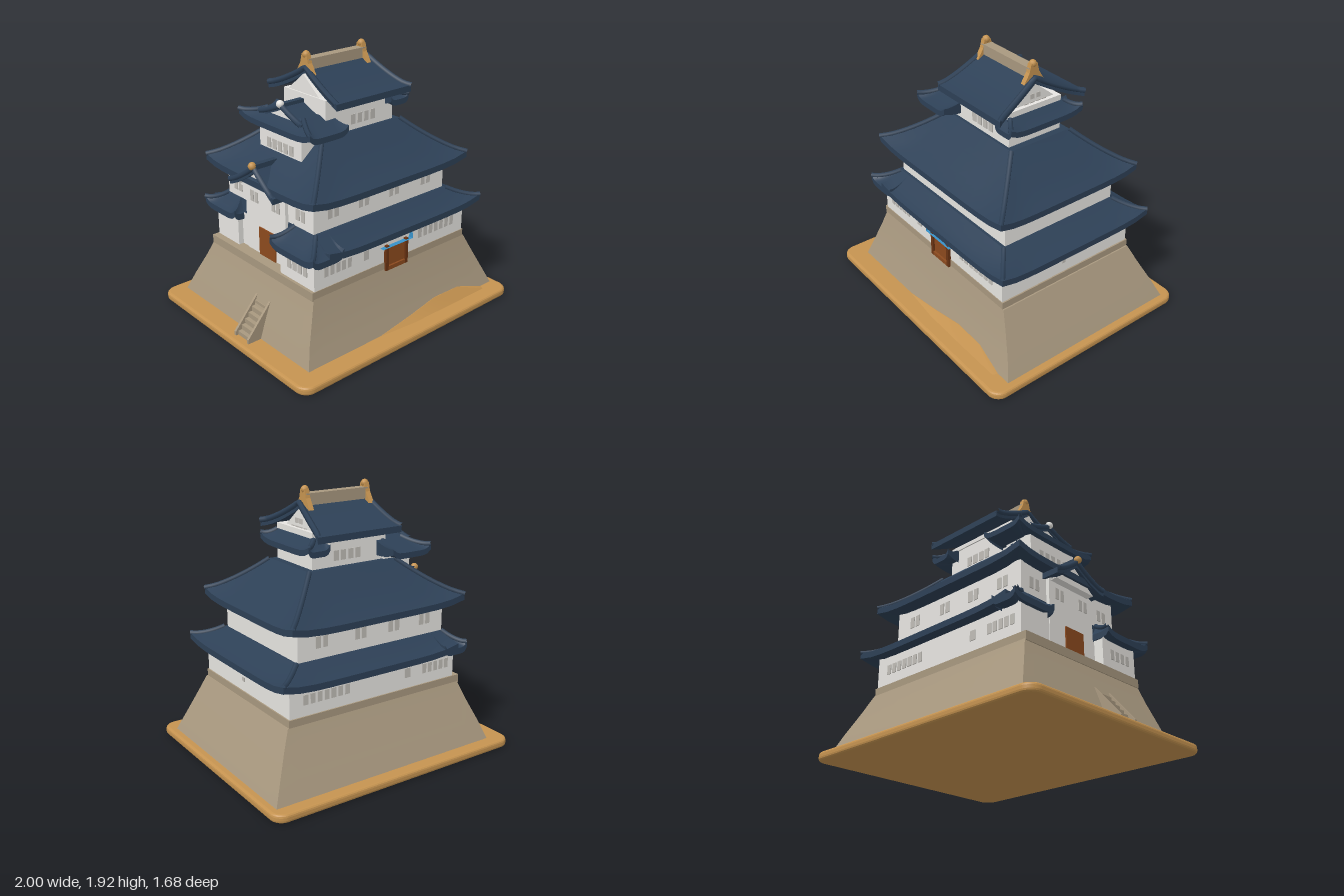
import * as THREE from 'three';
import { toCreasedNormals } from 'three/addons/utils/BufferGeometryUtils.js';

const mat = (name, color) => Object.assign(new THREE.MeshStandardMaterial({ color }), { name });

export function createModel() {
  const M = {
    sand: mat('sand gold', 0xc59350), stone: mat('stone', 0xa8987f), white: mat('plaster white', 0xe9e7e3),
    navy: mat('roof navy', 0x2d4056), slit: mat('window grey', 0xbfbcb6), wood: mat('door brown', 0x8c4a1e),
    dark: mat('dark brown', 0x6b3413), blue: mat('awning blue', 0x3791c8),
  };
  const root = new THREE.Group();
  root.name = 'castle';
  const add = (name, geo, m, parent = root) => {
    const mesh = new THREE.Mesh(geo, m);
    mesh.name = name;
    parent.add(mesh);
    return mesh;
  };
  // Box from its limits on each axis
  const box = (name, x0, x1, y0, y1, z0, z1, m) =>
    add(name, new THREE.BoxGeometry(x1 - x0, y1 - y0, z1 - z0)
      .translate((x0 + x1) / 2, (y0 + y1) / 2, (z0 + z1) / 2), m);

  // Skin over a row of closed loops, capped at both ends
  const loft = (loops, crease = 0.5) => {
    const n = loops[0].length, idx = [];
    for (let i = 0; i < loops.length - 1; i++) for (let j = 0; j < n; j++) {
      const k = (j + 1) % n, a = i * n + j, b = i * n + k, c = b + n, d = a + n;
      idx.push(a, b, c, a, c, d);
    }
    const last = (loops.length - 1) * n;
    for (let j = 1; j < n - 1; j++) idx.push(0, j + 1, j, last, last + j, last + j + 1);
    const g = new THREE.BufferGeometry();
    g.setAttribute('position', new THREE.Float32BufferAttribute(loops.flat(2), 3));
    g.setIndex(idx);
    return toCreasedNormals(g, crease);
  };
  // Rectangular ring with raised corners
  const ring = ([x0, x1, z0, z1], y, lift = 0, n = 12) => {
    const c = [[x0, z1], [x1, z1], [x1, z0], [x0, z0]], pts = [];
    for (let s = 0; s < 4; s++) for (let i = 0; i < n; i++) {
      const t = i / n, a = c[s], b = c[(s + 1) % 4];
      pts.push([a[0] + (b[0] - a[0]) * t, y + lift * Math.abs(2 * t - 1) ** 6, a[1] + (b[1] - a[1]) * t]);
    }
    return pts;
  };

  // Hipped roof skirt with a concave slope; hips lists the corners that carry a ridge bar
  const hipRoof = (name, eave, top, y0, y1, { thick = 0.045, p = 1.3, lift = 0.035, hips = [0, 1, 2, 3] } = {}) => {
    const g = new THREE.Group();
    g.name = name;
    root.add(g);
    const loops = [ring(top, y0 + 0.02), ring(eave, y0, lift)], slope = [];
    for (let i = 0; i <= 6; i++) {
      const s = i / 6;
      slope.push(ring(eave.map((e, k) => e + (top[k] - e) * s),
        y0 + thick + (y1 - y0 - thick) * s ** p, lift * (1 - s) ** 2));
    }
    add(name + 'Tiles', loft([...loops, ...slope]), M.navy, g);
    for (const h of hips) {
      const path = new THREE.CatmullRomCurve3(slope.map(r => new THREE.Vector3(...r[h * 12])));
      add(name + 'HipRidge', new THREE.TubeGeometry(path, 10, 0.018, 6), M.navy, g);
    }
  };

  // Gable roof with its ridge along x; eave and peak give the x limits at each height
  const gableRoof = (name, eave, peak, cz, half, y0, y1, thick = 0.04) => {
    const loops = [], edges = [[], []];
    for (let i = 0; i <= 16; i++) {
      const v = 1 - i / 8, s = 1 - Math.abs(v);
      const y = y0 + (y1 - y0) * s ** 1.3, z = cz + v * half;
      const [a, b] = [0, 1].map(k => eave[k] + (peak[k] - eave[k]) * s ** 0.6);
      loops.push([[a, y - thick, z], [a, y, z], [b, y, z], [b, y - thick, z]]);
      edges[0].push(new THREE.Vector3(a, y, z));
      edges[1].push(new THREE.Vector3(b, y, z));
    }
    add(name, loft(loops), M.navy);
    for (const e of edges)
      add(name + 'Edge', new THREE.TubeGeometry(new THREE.CatmullRomCurve3(e), 24, 0.02, 6), M.navy);
  };
  // Plate in the z-y plane
  const sidePlate = (name, pts, x, cz, depth, m) => {
    const shape = new THREE.Shape(pts.map(q => new THREE.Vector2(...q)));
    add(name, new THREE.ExtrudeGeometry(shape, { depth, bevelEnabled: false })
      .rotateY(Math.PI / 2).translate(x, 0, cz), m);
  };

  // Row of window slits: u is the centre along the wall, at the wall's depth
  const windows = (u, y, depth, w, h, n, axis = 'z') => {
    for (let i = 0; i < n; i++) {
      const c = u + ((i + 0.5) / n - 0.5) * w, sw = w / n * 0.68;
      const g = axis === 'z' ? new THREE.BoxGeometry(sw, h, 0.009) : new THREE.BoxGeometry(0.009, h, sw);
      g.translate(axis === 'z' ? c : depth, y, axis === 'z' ? depth : c);
      add('windowSlit', g, M.slit);
    }
  };

  // Ground slab with rounded corners
  const r = 0.07, X = 0.98, Z = 0.82, slab = new THREE.Shape();
  slab.absarc(X - r, Z - r, r, 0, Math.PI / 2);
  slab.absarc(-X + r, Z - r, r, Math.PI / 2, Math.PI);
  slab.absarc(-X + r, -Z + r, r, Math.PI, Math.PI * 1.5);
  slab.absarc(X - r, -Z + r, r, Math.PI * 1.5, Math.PI * 2);
  add('groundSlab', new THREE.ExtrudeGeometry(slab, { depth: 0.02, bevelSize: 0.02, bevelThickness: 0.02, bevelSegments: 3 })
    .rotateX(-Math.PI / 2).translate(0, 0.02, 0), M.sand);

  // Sloping stone foundation and its lip
  add('stoneFoundation', loft([
    ring([-0.85, 0.95, -0.75, 0.7], 0.05), ring([-0.8, 0.88, -0.685, 0.65], 0.2),
    ring([-0.74, 0.8, -0.61, 0.605], 0.36), ring([-0.7, 0.74, -0.56, 0.575], 0.48)]), M.stone);
  box('foundationLip', -0.71, 0.73, 0.47, 0.532, -0.56, 0.575, M.stone);
  // Sand drift against the front
  add('sandDrift', loft([[-0.25, 0.055], [0.1, 0.1], [0.35, 0.14], [0.6, 0.135], [0.85, 0.055]].map(([x, y]) =>
    [[x, 0.05, 0.6], [x, 0.05, 0.74], [x, y, 0.703 - (y - 0.05) * 0.33], [x, y, 0.6]].reverse())), M.sand);

  // Side stairs with rails
  for (let i = 0; i < 7; i++)
    box('stairStep', -0.93 + i * 0.03, -0.7, 0.05, 0.09 + i * 0.037, 0.03, 0.17, M.stone);
  for (const z of [0.02, 0.165])
    add('stairRail', new THREE.ExtrudeGeometry(new THREE.Shape([[-0.95, 0.05], [-0.7, 0.05], [-0.7, 0.38], [-0.95, 0.09]]
      .map(q => new THREE.Vector2(...q))), { depth: 0.018, bevelEnabled: false }).translate(0, 0, z), M.stone);

  // Plaster walls
  box('firstStoreyWall', -0.62, 0.72, 0.53, 0.78, -0.55, 0.57, M.white);
  box('frontBayWall', -0.69, -0.5, 0.53, 0.78, 0.22, 0.57, M.white);
  box('backBayWall', -0.66, -0.5, 0.53, 0.78, -0.55, -0.3, M.white);
  box('secondStoreyWall', -0.6, 0.61, 0.78, 1.12, -0.48, 0.46, M.white);
  box('lowerDormerWall', -0.625, -0.3, 0.53, 1.1, -0.24, 0.2, M.white);
  box('upperDormerWall', -0.48, -0.25, 1.12, 1.47, -0.25, 0.2, M.white);
  box('thirdStoreyWall', -0.28, 0.33, 1.36, 1.64, -0.23, 0.21, M.white);

  // Main roofs, then the short skirts on the dormer side
  hipRoof('firstRoof', [-0.62, 0.82, -0.645, 0.645], [-0.6, 0.62, -0.48, 0.48], 0.73, 0.87, { hips: [1, 2] });
  hipRoof('frontBayRoof', [-0.76, -0.5, 0.2, 0.645], [-0.6, -0.5, 0.27, 0.48], 0.73, 0.87, { hips: [0, 3] });
  hipRoof('backBayRoof', [-0.7, -0.5, -0.645, -0.28], [-0.6, -0.5, -0.48, -0.34], 0.73, 0.87, { hips: [3] });
  hipRoof('secondRoof', [-0.7, 0.72, -0.6, 0.58], [-0.33, 0.38, -0.27, 0.23], 1.07, 1.39, { p: 1.2 });
  hipRoof('sidePentRoof', [0.26, 0.43, -0.34, 0.27], [0.26, 0.33, -0.25, 0.2], 1.5, 1.6, { thick: 0.04, hips: [1, 2] });
  hipRoof('upperDormerSkirt', [-0.53, -0.2, -0.42, 0.35], [-0.42, -0.2, -0.22, 0.15], 1.42, 1.53, { thick: 0.04, hips: [0, 3] });

  // Gable roofs with plaster gables
  gableRoof('lowerDormerRoof', [-0.73, -0.4], [-0.7, -0.4], -0.035, 0.24, 1.07, 1.21);
  gableRoof('upperDormerRoof', [-0.47, -0.25], [-0.46, -0.25], -0.035, 0.22, 1.51, 1.59, 0.03);
  gableRoof('topRoof', [-0.29, 0.39], [-0.25, 0.3], -0.03, 0.36, 1.645, 1.81, 0.045);
  const gable = (x, cz, hw, yb, ya, depth) =>
    sidePlate('plasterGable', [[-hw, yb], [hw, yb], [0, ya]], x, cz, depth, M.white);
  gable(-0.68, -0.035, 0.19, 1.03, 1.17, 0.2);
  gable(-0.45, -0.035, 0.17, 1.49, 1.565, 0.1);
  gable(-0.27, -0.03, 0.21, 1.6, 1.77, 0.57);
  box('lowerDormerRidge', -0.72, -0.45, 1.2, 1.235, -0.055, -0.015, M.navy);
  box('upperDormerRidge', -0.46, -0.25, 1.58, 1.605, -0.055, -0.015, M.navy);
  for (const [x, y, m] of [[-0.71, 1.225, M.sand], [-0.465, 1.6, M.white]])
    add('dormerFinial', new THREE.SphereGeometry(0.028, 10, 8).translate(x, y, -0.035), m);

  // Top ridge beam and gold finials
  box('topRidgeBeam', -0.24, 0.27, 1.79, 1.87, -0.075, -0.005, M.stone);
  for (const x of [-0.235, 0.26]) {
    sidePlate('ridgeFinial', [[-0.085, 1.765], [-0.05, 1.76], [0, 1.8], [0.05, 1.76], [0.085, 1.765],
      [0.04, 1.84], [0.025, 1.9], [-0.025, 1.9], [-0.04, 1.84]], x - 0.018, -0.04, 0.036, M.sand);
    add('finialKnob', new THREE.SphereGeometry(0.027, 10, 8).translate(x, 1.895, -0.04), M.sand);
  }

  // Window slits on front and back
  for (const [d1, d2, d3] of [[0.571, 0.461, 0.211], [-0.551, -0.481, -0.231]]) {
    windows(-0.49, 0.645, d1, 0.25, 0.07, 5);
    windows(-0.24, 0.645, d1, 0.07, 0.07, 1);
    windows(0.435, 0.645, d1, 0.38, 0.07, 7);
    for (const x of [-0.435, -0.165, 0.115, 0.425]) windows(x, 0.985, d2, 0.11, 0.08, 2);
    windows(0.05, 1.465, d3, 0.24, 0.07, 4);
  }
  // Window slits on the sides
  windows(0.04, 0.62, 0.721, 0.04, 0.03, 1, 'x');
  windows(0.4, 0.645, -0.691, 0.22, 0.07, 4, 'x');
  for (const z of [-0.36, 0.33]) windows(z, 0.96, -0.601, 0.11, 0.08, 2, 'x');
  for (const z of [-0.14, 0.1]) windows(z, 0.95, -0.626, 0.1, 0.08, 2, 'x');
  windows(-0.025, 1.31, -0.481, 0.3, 0.07, 5, 'x');
  windows(-0.03, 1.63, 0.301, 0.2, 0.035, 4, 'x');
  windows(-0.03, 1.685, 0.301, 0.1, 0.035, 2, 'x');

  // Front doorway: frame, inner panel, sill and awning
  box('doorPanel', -0.05, 0.12, 0.49, 0.65, 0.56, 0.578, M.wood);
  for (const x of [-0.07, 0.115]) box('doorPost', x, x + 0.025, 0.47, 0.66, 0.56, 0.592, M.dark);
  box('doorSill', -0.07, 0.14, 0.47, 0.5, 0.56, 0.592, M.wood);
  add('awning', loft([-0.11, 0.17].map(x =>
    [[x, 0.65, 0.56], [x, 0.735, 0.56], [x, 0.735, 0.585], [x, 0.7, 0.602], [x, 0.65, 0.605]].reverse())), M.blue);
  // Side door below the lower dormer
  box('sideDoor', -0.634, -0.6, 0.53, 0.74, -0.09, 0.09, M.wood);

  return root;
}
